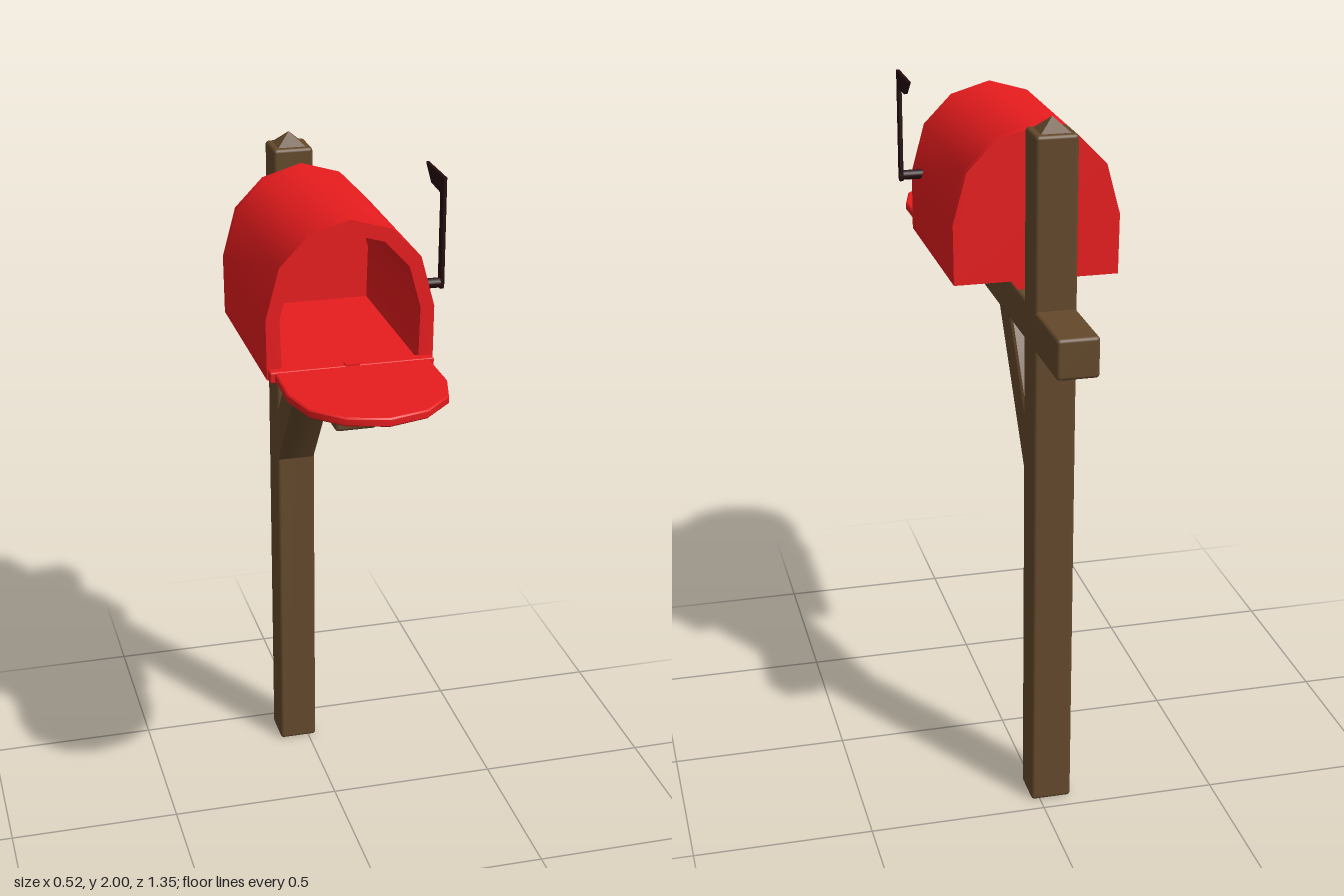
import * as THREE from 'three';
import { toCreasedNormals } from 'three/addons/utils/BufferGeometryUtils.js';
import { RoundedBoxGeometry } from 'three/addons/geometries/RoundedBoxGeometry.js';

const wood = new THREE.MeshStandardMaterial({ color: 0x64492c });
const red = new THREE.MeshStandardMaterial({ color: 0xe81c1e });
const dark = new THREE.MeshStandardMaterial({ color: 0x260b0d });

const CX = -0.033; // centre line of post and box

function add(parent, name, geometry, material, x = 0, y = 0, z = 0) {
  const mesh = new THREE.Mesh(geometry, material);
  mesh.name = name;
  mesh.position.set(x, y, z);
  parent.add(mesh);
  return mesh;
}

const toPoints = (list) => list.map(([a, b]) => new THREE.Vector2(a, b));

// Extrusion along +z starting at 0, smooth across shallow angles
function extrude(points, depth, hole, bevel = 0) {
  const shape = new THREE.Shape(toPoints(points));
  if (hole) shape.holes.push(new THREE.Path(toPoints(hole)));
  const g = new THREE.ExtrudeGeometry(shape, {
    depth: depth - 2 * bevel, bevelEnabled: bevel > 0, bevelSize: bevel,
    bevelThickness: bevel, bevelOffset: -bevel, bevelSegments: 1,
  });
  g.translate(0, 0, bevel);
  return toCreasedNormals(g, 0.65);
}

// Side profile given as [z, y], extruded across x and centred
function sideProfile(points, width, bevel = 0) {
  return extrude(points, width, null, bevel).translate(0, 0, -width / 2).rotateY(-Math.PI / 2);
}

// Mirror a right half outline, listed from bottom to just below the apex
function arch(half, apex) {
  return [...half, [0, apex], ...half.map(([x, y]) => [-x, y]).reverse()];
}

export function createModel() {
  const model = new THREE.Group();
  model.name = 'mailbox';

  // Wooden support
  const support = new THREE.Group();
  support.name = 'support';
  model.add(support);
  add(support, 'post', new RoundedBoxGeometry(0.115, 1.955, 0.115, 2, 0.01), wood, CX, 0.9775, -0.398);
  const cap = new THREE.ConeGeometry(0.076, 0.05, 4, 1).toNonIndexed();
  cap.computeVertexNormals();
  cap.rotateY(Math.PI / 4);
  add(support, 'postCap', cap, wood, CX, 1.967, -0.398);
  add(support, 'beam', new RoundedBoxGeometry(0.115, 0.112, 1.03, 2, 0.01), wood, CX, 1.431, -0.16);
  add(support, 'brace', sideProfile(
    [[-0.35, 0.98], [-0.04, 1.4], [-0.17, 1.4], [-0.35, 1.15]], 0.11, 0.006), wood, CX);

  // Box shell with an open front and closed back
  const box = new THREE.Group();
  box.name = 'box';
  box.position.x = CX + 0.003;
  model.add(box);
  const outer = arch([[0.228, 1.512], [0.23, 1.68], [0.192, 1.82], [0.112, 1.902]], 1.935);
  const inner = arch([[0.188, 1.53], [0.192, 1.68], [0.16, 1.795], [0.092, 1.868]], 1.895);
  add(box, 'shell', extrude(outer, 0.525, inner), red, 0, 0, -0.245);
  add(box, 'backPanel', extrude(outer, 0.02), red, 0, 0, -0.265);

  // Tapered mounting strip under the floor
  add(box, 'mountingStrip', extrude(
    [[-0.05, 1.484], [0.05, 1.484], [0.072, 1.513], [-0.072, 1.513]], 0.54), red, 0, 0, -0.262);

  // Hinge bar and lowered door
  add(box, 'hingeBar', new RoundedBoxGeometry(0.45, 0.03, 0.035, 2, 0.004), red, 0, 1.527, 0.288);
  const doorOutline = arch([[0.212, 0.29], [0.214, 0.455], [0.185, 0.565], [0.107, 0.642]], 0.672);
  const door = extrude(doorOutline, 0.024, null, 0.004).rotateX(Math.PI / 2);
  add(box, 'door', door, red, 0, 1.54, 0);
  add(box, 'doorLatch', new THREE.BoxGeometry(0.04, 0.01, 0.02), red, 0, 1.541, 0.295);

  // Raised signal flag on the left side
  const flag = new THREE.Group();
  flag.name = 'flag';
  model.add(flag);
  const pivot = new THREE.CylinderGeometry(0.014, 0.014, 0.07, 12).rotateZ(Math.PI / 2);
  add(flag, 'flagPivot', pivot, dark, 0.222, 1.704, 0.171);
  add(flag, 'flagArm', sideProfile([
    [0.156, 1.695], [0.164, 1.688], [0.178, 1.688], [0.186, 1.695], [0.19, 2],
    [0.027, 2], [0.078, 1.956], [0.16, 1.952],
  ], 0.009), dark, 0.252);

  return model;
}
